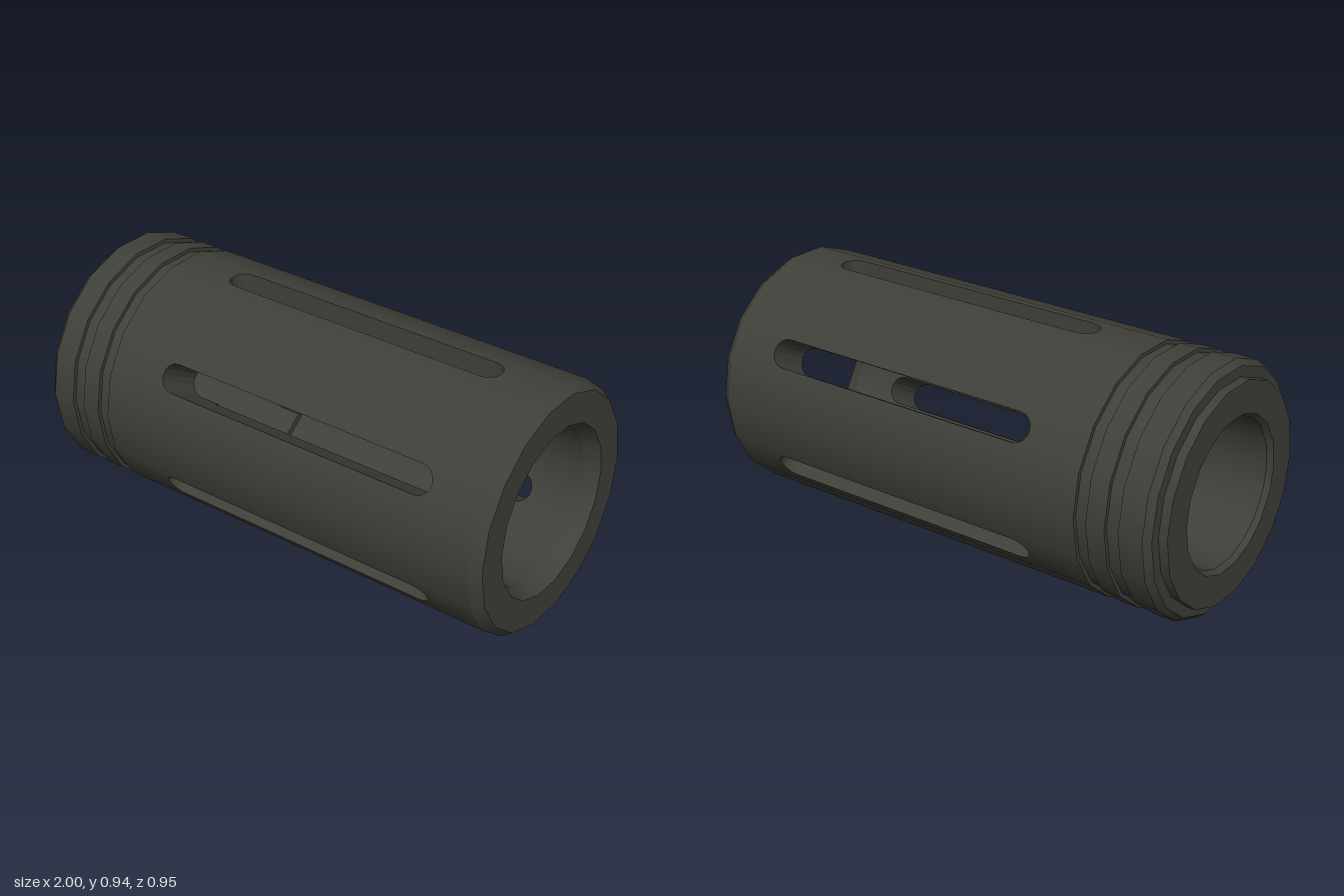
import * as THREE from 'three';

const SIDES = 18, STEP = (2 * Math.PI) / SIDES, CENTER_Y = 0.47;
const SLOT_W = 0.055, SLOT_L = -0.375, SLOT_R = 0.705; // half width, centres of the rounded ends
const SLOT_SIDES = [0, 3, 6, 12, 15];                  // none on the underside
const STEP_X = -0.29, BORE_SMALL = 0.275, BORE_LARGE = 0.3, BODY = 0.47;

// Profiles as [x, distance of the flat sides from the axis]
const collarProfile = [
  [-1, 0.29], [-1, 0.41], [-0.965, 0.41], [-0.965, 0.45], [-0.94, BODY], [-0.845, BODY],
  [-0.845, 0.455], [-0.79, 0.455], [-0.79, BODY], [-0.715, BODY], [-0.715, 0.455],
  [-0.665, 0.455], [-0.665, BODY],
];
const bodyProfile = [[-0.665, BODY], [0.96, BODY], [1, 0.443], [1, 0.325]];
const boreProfile = [
  [1, 0.325], [0.94, BORE_LARGE], [STEP_X, BORE_LARGE], [STEP_X, BORE_SMALL],
  [-0.98, BORE_SMALL], [-1, 0.29],
];

// Point on side k: x along the axis, u across the side, r out from the axis
function onSide(k, x, u, r) {
  const a = k * STEP, c = Math.cos(a), s = Math.sin(a);
  return new THREE.Vector3(x, r * c - u * s, r * s + u * c);
}

// Corner between side j and side j + 1; sides at slots are at least as wide as the slot
function corner(j, x, r) {
  const half = r * Math.tan(STEP / 2), wide = Math.max(SLOT_W, half);
  const m = ((j % 3) + 3) % 3;
  if (m === 0) return onSide(j, x, wide, r);
  if (m === 2) return onSide(j + 1, x, -wide, r);
  return onSide(j, x, half, r);
}

// Normal with an axial part nx and a radial part nr
function roundNormal(p, nx, nr) {
  const d = Math.hypot(p.y, p.z);
  return new THREE.Vector3(nx, (nr * p.y) / d, (nr * p.z) / d).normalize();
}

// Collects triangles and turns each one to agree with its normals
class Surface {
  positions = [];
  normals = [];
  tri(pts, nrm) {
    const face = pts[1].clone().sub(pts[0]).cross(pts[2].clone().sub(pts[0]));
    const sum = nrm[0].clone().add(nrm[1]).add(nrm[2]);
    for (const i of face.dot(sum) < 0 ? [0, 2, 1] : [0, 1, 2]) {
      this.positions.push(...pts[i].toArray());
      this.normals.push(...nrm[i].toArray());
    }
  }
  quad(p, n) {
    this.tri([p[0], p[1], p[2]], [n[0], n[1], n[2]]);
    this.tri([p[0], p[2], p[3]], [n[0], n[2], n[3]]);
  }
  // Revolve a profile over the sides; skip() leaves out the slotted panels
  revolve(profile, skip = () => false) {
    for (let i = 0; i + 1 < profile.length; i++) {
      const [x0, r0] = profile[i], [x1, r1] = profile[i + 1];
      for (let k = 0; k < SIDES; k++) {
        if (skip(i, k)) continue;
        const p = [corner(k - 1, x0, r0), corner(k - 1, x1, r1), corner(k, x1, r1), corner(k, x0, r0)];
        this.quad(p, p.map((v) => roundNormal(v, r0 - r1, x1 - x0)));
      }
    }
  }
  // Flat panel on side k from an outline in (x, u)
  panel(k, r, outline, holes, facing) {
    const all = [outline, ...holes].flat().map((v) => onSide(k, v.x, v.y, r));
    for (const f of THREE.ShapeUtils.triangulateShape(outline, holes)) {
      const p = f.map((i) => all[i]);
      this.tri(p, p.map((v) => roundNormal(v, 0, facing)));
    }
  }
  mesh(name, material) {
    const g = new THREE.BufferGeometry();
    g.setAttribute('position', new THREE.Float32BufferAttribute(this.positions, 3));
    g.setAttribute('normal', new THREE.Float32BufferAttribute(this.normals, 3));
    const m = new THREE.Mesh(g, material);
    m.name = name;
    m.position.y = CENTER_Y;
    return m;
  }
}

// Half circle of a slot end, counter-clockwise
function slotEnd(cx, start) {
  return Array.from({ length: 9 }, (_, i) => {
    const a = start + (i * Math.PI) / 8;
    return new THREE.Vector2(cx + SLOT_W * Math.cos(a), SLOT_W * Math.sin(a));
  });
}

export function createModel() {
  const group = new THREE.Group();
  const material = new THREE.MeshStandardMaterial({ color: 0x40403a });
  const v2 = (x, y) => new THREE.Vector2(x, y);
  const slotted = (k) => SLOT_SIDES.includes(k);
  const rightEnd = slotEnd(SLOT_R, -Math.PI / 2), leftEnd = slotEnd(SLOT_L, Math.PI / 2);

  // Grooved collar with its narrow rear lip
  const collar = new Surface();
  collar.revolve(collarProfile);

  // Outer body and front rim, and the stepped bore
  const body = new Surface(), bore = new Surface(), walls = new Surface();
  body.revolve(bodyProfile, (i, k) => i === 0 && slotted(k));
  bore.revolve(boreProfile, (i, k) => i >= 1 && i <= 3 && slotted(k));

  const half = BODY * Math.tan(STEP / 2);
  const plate = [v2(-0.665, -half), v2(0.96, -half), v2(0.96, half), v2(-0.665, half)];
  const boreRear = [...leftEnd, v2(-0.98, -SLOT_W), v2(-0.98, SLOT_W)];
  const boreFront = [...rightEnd, v2(0.94, SLOT_W), v2(0.94, -SLOT_W)];
  const wallRuns = [
    [BORE_SMALL, [v2(STEP_X, SLOT_W), ...leftEnd, v2(STEP_X, -SLOT_W)]],
    [BORE_LARGE, [v2(STEP_X, -SLOT_W), ...rightEnd, v2(STEP_X, SLOT_W)]],
  ];

  for (const k of SLOT_SIDES) {
    body.panel(k, BODY, plate, [[...rightEnd, ...leftEnd]], 1);
    bore.panel(k, BORE_SMALL, boreRear, [], -1);
    bore.panel(k, BORE_LARGE, boreFront, [], -1);
    // Slot walls through the thickness of the sleeve
    for (const [r, run] of wallRuns) {
      for (let i = 0; i + 1 < run.length; i++) {
        const a = run[i], b = run[i + 1];
        const n = onSide(k, a.y - b.y, b.x - a.x, 0).normalize();
        walls.quad(
          [onSide(k, a.x, a.y, BODY), onSide(k, b.x, b.y, BODY), onSide(k, b.x, b.y, r), onSide(k, a.x, a.y, r)],
          [n, n, n, n],
        );
      }
    }
  }

  group.add(
    collar.mesh('groovedCollar', material),
    body.mesh('slottedSleeve', material),
    bore.mesh('bore', material),
    walls.mesh('slotWalls', material),
  );
  return group;
}
